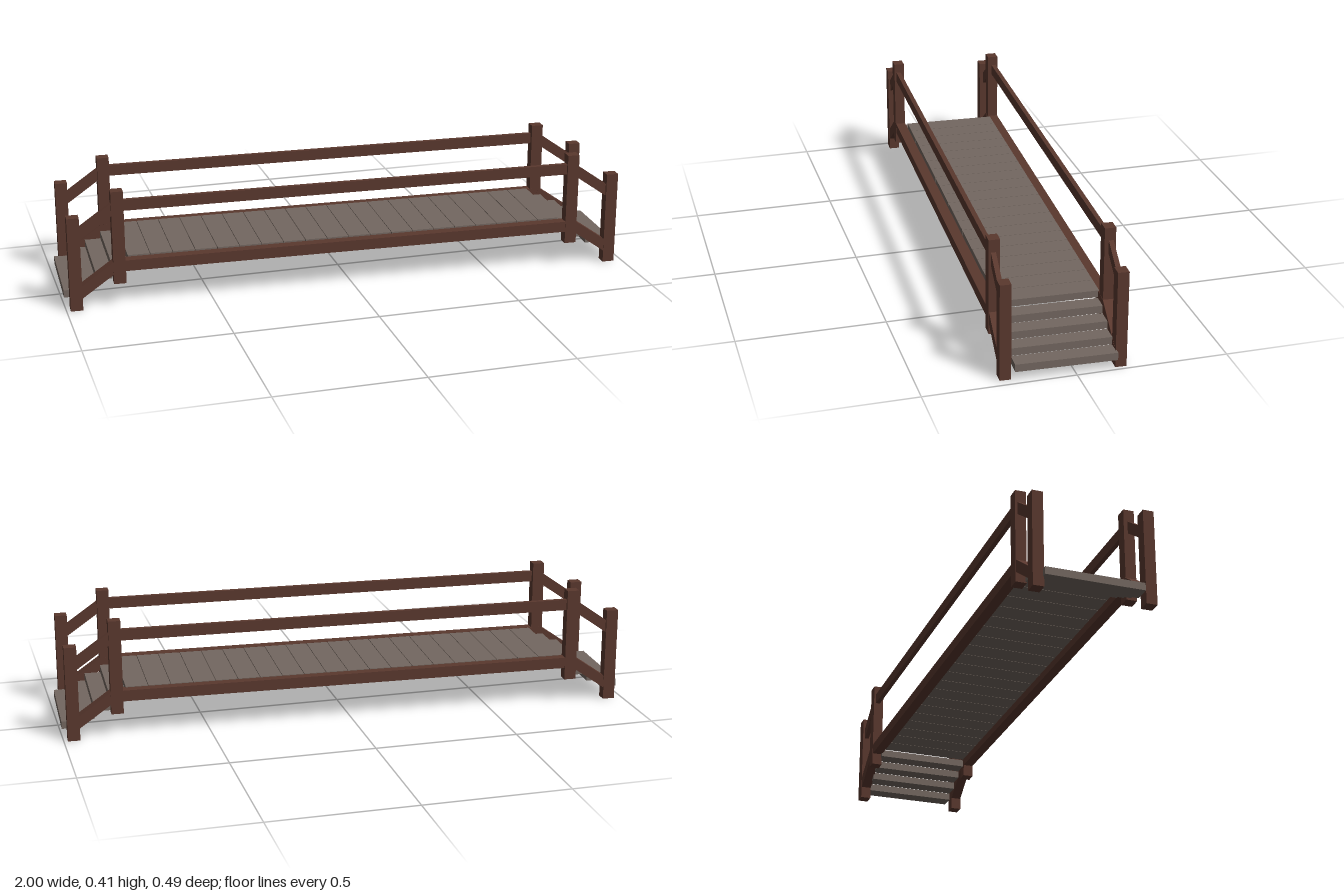
import * as THREE from 'three';

const wood = new THREE.MeshStandardMaterial({ color: 0x5a382e, flatShading: true });
const plankWood = new THREE.MeshStandardMaterial({ color: 0x736760, flatShading: true });

export function createModel() {
  const root = new THREE.Group();
  const bridge = new THREE.Group();
  bridge.name = 'footbridge';
  bridge.rotation.y = -0.039; // the bridge stands slightly askew
  root.add(bridge);

  function box(name, material, size, position) {
    const mesh = new THREE.Mesh(new THREE.BoxGeometry(...size), material);
    mesh.name = name;
    mesh.position.set(...position);
    bridge.add(mesh);
    return mesh;
  }

  // Beam running in the x-y plane between two points
  function beam(name, a, b, z, height, depth) {
    const dx = b[0] - a[0], dy = b[1] - a[1];
    const mesh = box(name, wood, [Math.hypot(dx, dy), height, depth],
      [(a[0] + b[0]) / 2, (a[1] + b[1]) / 2, z]);
    mesh.rotation.z = Math.atan2(dy, dx);
  }

  for (const side of [-1, 1]) {
    // Long handrail and the thicker beam below it
    beam('handrail', [-0.8, 0.361], [0.8, 0.361], side * 0.19, 0.038, 0.016);
    beam('sideBeam', [-0.815, 0.147], [0.815, 0.147], side * 0.186, 0.038, 0.036);

    for (const end of [-1, 1]) {
      // Posts
      box('innerPost', wood, [0.042, 0.328, 0.037], [end * 0.808, 0.249, side * 0.187]);
      box('outerPost', wood, [0.042, 0.331, 0.037], [end * 0.958, 0.1655, side * 0.187]);
      // Sloping rails between the posts
      beam('slopingHandrail', [end * 0.955, 0.26], [end * 0.815, 0.358], side * 0.19, 0.036, 0.016);
      beam('slopingBeam', [end * 0.955, 0.052], [end * 0.815, 0.15], side * 0.186, 0.036, 0.036);
    }
  }

  // Deck planks
  const deckZ = -0.006, deckWidth = 0.332;
  const planks = 20, deckLength = 1.55, pitch = deckLength / planks;
  for (let i = 0; i < planks; i++) {
    box('deckPlank', plankWood, [pitch - 0.002, 0.024, deckWidth],
      [-deckLength / 2 + pitch * (i + 0.5), 0.156, deckZ]);
  }

  // Steps at both ends
  for (const end of [-1, 1]) {
    for (let i = 0; i < 4; i++) {
      box('step', plankWood, [0.056, 0.026, deckWidth],
        [end * (0.968 - i * 0.0555), 0.0475 + i * 0.027, deckZ]);
    }
  }
  return root;
}
